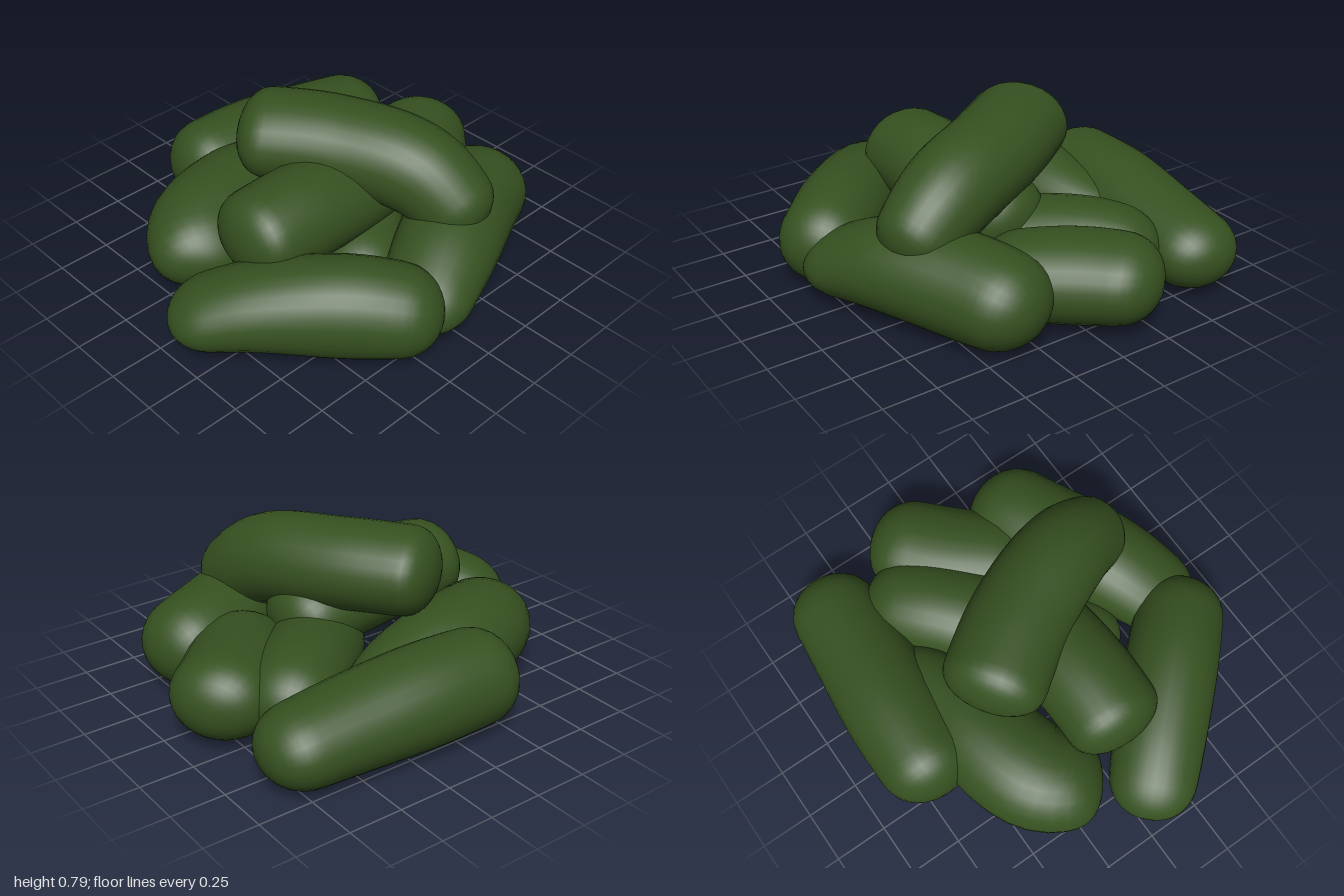
import * as THREE from 'three';
import { mergeVertices } from 'three/addons/utils/BufferGeometryUtils.js';

const skin = new THREE.MeshStandardMaterial({ color: 0x365120 });
const UP = new THREE.Vector3(0, 1, 0);

// Unit sausage outline as [radius factor, distance]: rounded cap, flank, rounded cap
function makeOutline(length, cap) {
  const outline = [];
  const steps = 9;
  const capPoint = (i, flip) => {
    const a = (i / steps) * Math.PI / 2;
    const s = cap * (1 - Math.pow(Math.cos(a), 0.9));
    outline.push(new THREE.Vector2(Math.pow(Math.sin(a), 0.9), flip ? length - s : s));
  };
  for (let i = 0; i <= steps; i++) capPoint(i, false);
  for (let i = 1; i < 18; i++) outline.push(new THREE.Vector2(1, cap + (length - 2 * cap) * i / 18));
  for (let i = steps; i >= 0; i--) capPoint(i, true);
  return outline;
}

// Sausage swept from tip to tip; each station is [x, y, z, half width, half height]
function sausage(name, stations, cap = 0.19) {
  const path = new THREE.CatmullRomCurve3(stations.map(([x, y, z]) => new THREE.Vector3(x, y, z)));
  const sizes = new THREE.CatmullRomCurve3(
    stations.map(([, , , w, h]) => new THREE.Vector3(w, h, 0)), false, 'catmullrom');
  const length = path.getLength();

  // Bend the straight body along the path and scale its sections
  const outline = makeOutline(length, cap);
  const sides = 28;
  let geometry = new THREE.LatheGeometry(outline, sides);
  const pos = geometry.attributes.position;
  const seam = sides * outline.length;
  for (let i = 0; i < seam; i++) {
    const u = THREE.MathUtils.clamp(pos.getY(i) / length, 0, 1);
    const t = path.getUtoTmapping(u);
    const size = sizes.getPoint(t);
    const along = path.getTangent(t);
    const side = new THREE.Vector3().crossVectors(UP, along).normalize();
    const rise = new THREE.Vector3().crossVectors(along, side);
    const p = path.getPoint(t)
      .addScaledVector(side, pos.getX(i) * size.x)
      .addScaledVector(rise, -pos.getZ(i) * size.y);
    pos.setXYZ(i, p.x, p.y, p.z);
  }

  // Close the seam exactly and weld it so the shading is smooth all round
  for (let j = 0; j < outline.length; j++) {
    pos.setXYZ(seam + j, pos.getX(j), pos.getY(j), pos.getZ(j));
  }
  geometry.deleteAttribute('uv');
  geometry.deleteAttribute('normal');
  geometry = mergeVertices(geometry, 1e-4);
  geometry.computeVertexNormals();
  const mesh = new THREE.Mesh(geometry, skin);
  mesh.name = name;
  return mesh;
}

export function createModel() {
  const group = new THREE.Group();
  group.name = 'pile';
  group.add(
    // Outer ring lying on the ground
    sausage('rightPiece', [
      [-0.615, 0.18, -0.9, 0.2, 0.16], [-0.635, 0.21, -0.5, 0.225, 0.195],
      [-0.665, 0.235, -0.1, 0.235, 0.22], [-0.68, 0.24, 0.33, 0.215, 0.21]]),
    sausage('backPiece', [
      [-0.27, 0.24, -0.93, 0.22, 0.18], [-0.05, 0.22, -0.67, 0.245, 0.2],
      [0.15, 0.21, -0.5, 0.23, 0.19], [0.31, 0.2, -0.37, 0.19, 0.16]]),
    sausage('leftPiece', [
      [0.31, 0.21, -0.84, 0.21, 0.18], [0.4, 0.23, -0.55, 0.24, 0.22],
      [0.59, 0.24, -0.15, 0.235, 0.205], [0.77, 0.14, 0.24, 0.185, 0.115]]),
    sausage('frontLeftPiece', [
      [0, 0.15, 0.945, 0.19, 0.12], [0.26, 0.22, 0.68, 0.215, 0.185],
      [0.55, 0.23, 0.4, 0.22, 0.225], [0.84, 0.2, 0.12, 0.2, 0.18]]),
    sausage('frontRightPiece', [
      [-0.05, 0.2, 0.66, 0.22, 0.15], [-0.29, 0.225, 0.52, 0.25, 0.215],
      [-0.39, 0.235, 0.25, 0.245, 0.22], [-0.43, 0.23, -0.03, 0.195, 0.18], [-0.52, 0.2, -0.37, 0.12, 0.1]]),
    // Inner piece lying diagonally beneath the stack
    sausage('innerPiece', [
      [-0.45, 0.21, -0.7, 0.19, 0.16], [-0.24, 0.23, -0.46, 0.225, 0.2],
      [0, 0.22, -0.2, 0.22, 0.18], [0.22, 0.18, 0, 0.19, 0.14], [0.42, 0.16, 0.17, 0.17, 0.12]]),
    // Stacked pieces
    sausage('middlePiece', [
      [0.1, 0.41, 0.645, 0.225, 0.195], [0.105, 0.415, 0.3, 0.232, 0.215],
      [0.08, 0.38, -0.05, 0.23, 0.2], [0.04, 0.32, -0.36, 0.19, 0.16]], 0.15),
    sausage('topPiece', [
      [-0.375, 0.6, 0.2, 0.24, 0.195], [0, 0.59, -0.06, 0.235, 0.205],
      [0.36, 0.53, -0.225, 0.215, 0.21], [0.65, 0.32, -0.3, 0.17, 0.17]], 0.15),
  );
  return group;
}
